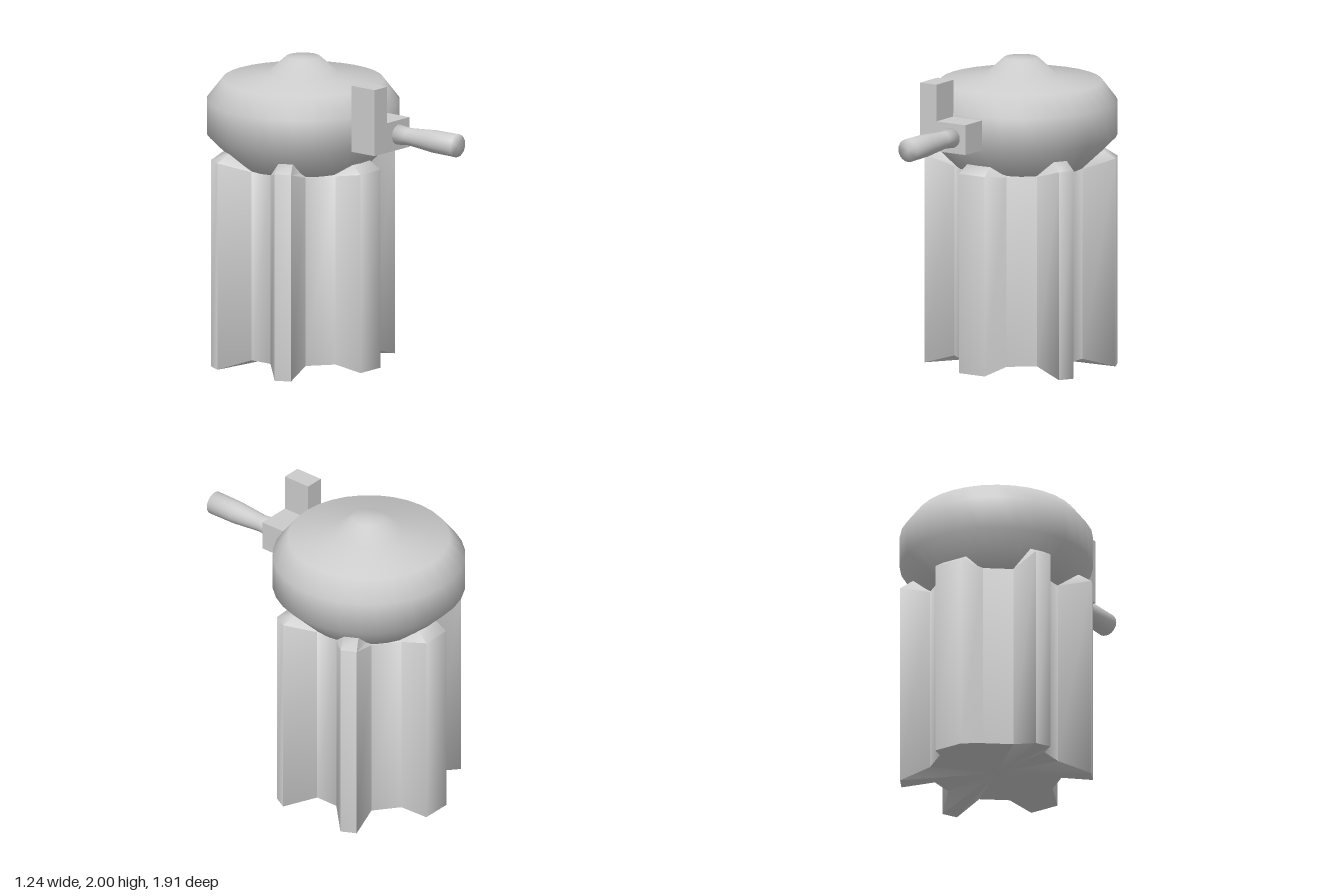
import * as THREE from 'three';
import { toCreasedNormals } from 'three/addons/utils/BufferGeometryUtils.js';

const AXIS_Z = -0.335;
const material = new THREE.MeshStandardMaterial({ color: 0xcccccc });
const doubleMaterial = new THREE.MeshStandardMaterial({ color: 0xcccccc, side: THREE.DoubleSide });

function part(name, geometry, mat = material) {
  const mesh = new THREE.Mesh(geometry, mat);
  mesh.name = name;
  return mesh;
}

function lathe(points, segments) {
  return new THREE.LatheGeometry(points.map(([r, y]) => new THREE.Vector2(r, y)), segments);
}

// Fluted body: six lobes, with heights that rise and fall between ridge and groove
function bodyGeometry() {
  // x, z, bottom y, outer top y, inner top y for one quarter
  const quarter = [
    [0.10, 0.565, 0.015, 1.32, 1.37],
    [0.165, 0.41, 0.06, 1.30, 1.32],
    [0.32, 0.29, 0.06, 1.30, 1.32],
    [0.52, 0.335, 0.0, 1.36, 1.41],
    [0.57, 0.24, 0.0, 1.36, 1.41],
    [0.42, 0.08, 0.06, 1.30, 1.32],
  ];
  const flip = (list, sx, sz) => list.map(([x, z, ...h]) => [x * sx, z * sz, ...h]);
  const reversed = [...quarter].reverse();
  const outline = [
    ...quarter,
    ...flip(reversed, 1, -1),
    ...flip(quarter, -1, -1),
    ...flip(reversed, -1, 1),
  ];
  const n = outline.length;
  const rings = [
    outline.map(([x, z, b]) => [x, b, z]),
    outline.map(([x, z, , t]) => [x, t, z]),
    outline.map(([x, z, , , t]) => [x * 0.87, t, z * 0.87]),
  ];
  const positions = [...rings.flat(2), 0, 0.05, 0, 0, 1.4, 0];
  const index = [];
  for (let i = 0; i < n; i++) {
    const j = (i + 1) % n;
    for (let r = 0; r < 2; r++) {
      const a = r * n + i, b = r * n + j;
      index.push(a, b, b + n, a, b + n, a + n);
    }
    index.push(3 * n, j, i); // underside
    index.push(3 * n + 1, 2 * n + i, 2 * n + j); // top
  }
  const geometry = new THREE.BufferGeometry();
  geometry.setAttribute('position', new THREE.Float32BufferAttribute(positions, 3));
  geometry.setIndex(index);
  return toCreasedNormals(geometry, 1.25);
}

export function createModel() {
  const model = new THREE.Group();

  const body = part('flutedBody', bodyGeometry(), doubleMaterial);
  body.position.z = AXIS_Z;
  model.add(body);

  // Rounded lid with a small raised crown
  const lid = part('lid', lathe([
    [0, 1.3], [0.42, 1.3], [0.62, 1.5], [0.62, 1.72],
    [0.52, 1.85], [0.22, 1.9], [0.11, 2], [0, 2],
  ], 32));
  lid.position.z = AXIS_Z;
  model.add(lid);

  // L-shaped bracket on the front of the lid
  const corners = [
    [-0.24, 1.505], [0.11, 1.505], [0.11, 1.7],
    [-0.115, 1.7], [-0.115, 1.94], [-0.24, 1.94],
  ];
  const bracket = part('bracket', new THREE.ExtrudeGeometry(
    new THREE.Shape(corners.map(([x, y]) => new THREE.Vector2(x, y))),
    { depth: 0.195, bevelEnabled: false },
  ));
  bracket.position.z = 0.27;
  model.add(bracket);

  // Waisted handle pointing forward
  const handle = part('handle', lathe([
    [0, 0], [0.066, 0], [0.056, 0.09], [0.062, 0.17],
    [0.073, 0.3], [0.075, 0.495], [0, 0.495],
  ], 20));
  handle.rotation.x = Math.PI / 2;
  handle.position.set(0, 1.605, 0.465);
  model.add(handle);

  return model;
}
